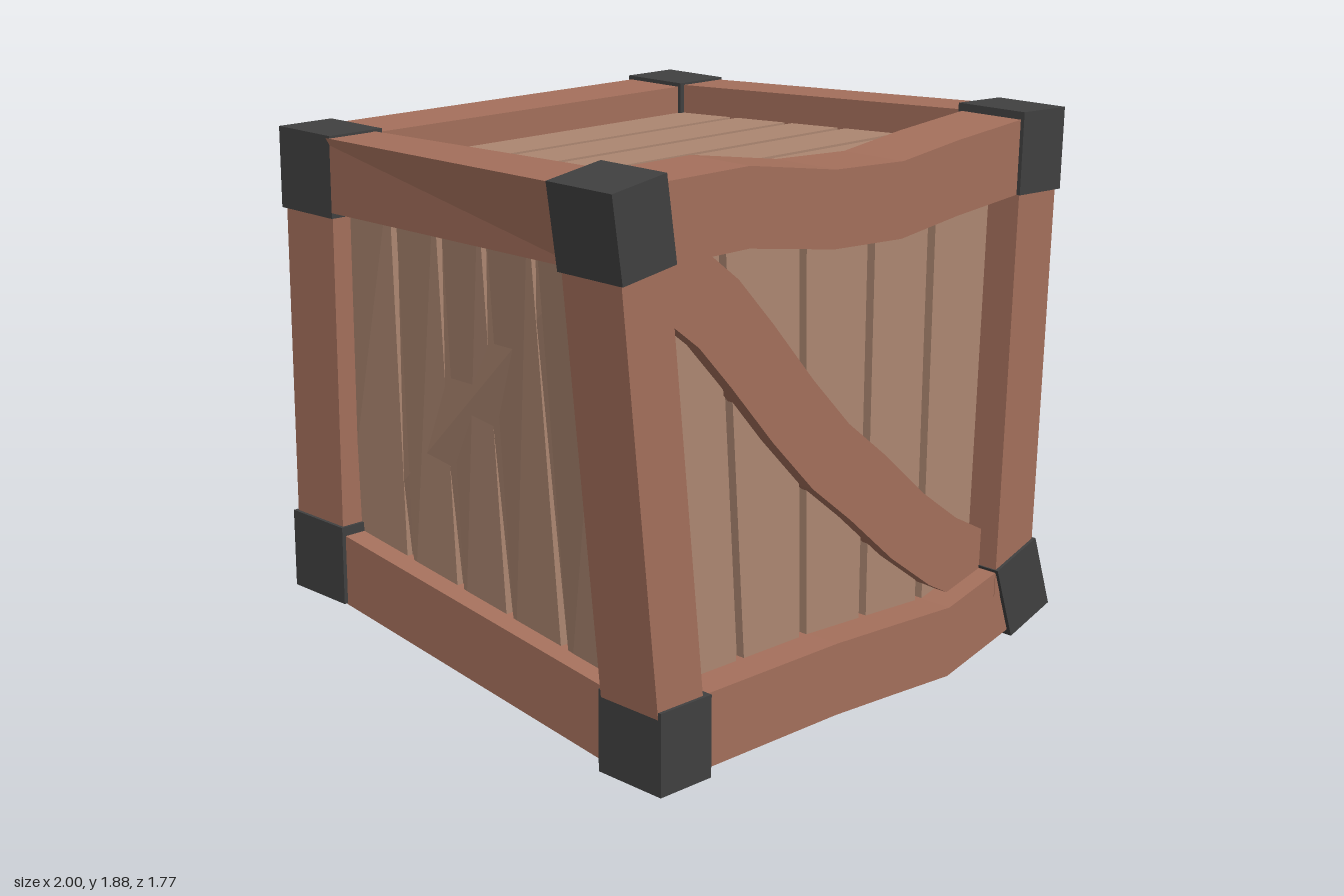
import * as THREE from 'three';

const V = (x, y, z) => new THREE.Vector3(x, y, z);
const mat = (color) => new THREE.MeshStandardMaterial({ color, flatShading: true });

// Corner nodes of the warped crate: L/R = -x/+x, T/B = top/bottom, F/B = front/back
const N = {
  LTF: V(-0.88, 1.74, 0.74), RTF: V(0.86, 1.735, 0.74),
  LTB: V(-0.715, 1.67, -0.735), RTB: V(0.82, 1.67, -0.735),
  LBF: V(-0.715, 0.19, 0.74), RBF: V(0.81, 0.275, 0.74),
  LBB: V(-0.715, 0.385, -0.74), RBB: V(0.815, 0.155, -0.76),
};

// Closed solid through a row of four-cornered rings
function loft(rings) {
  const pos = [];
  const quad = (a, b, c, d) => [a, b, c, a, c, d].forEach((p) => pos.push(p.x, p.y, p.z));
  const first = rings[0], last = rings[rings.length - 1];
  // pick the winding that faces outward
  const e1 = first[1].clone().sub(first[0]), e2 = first[3].clone().sub(first[0]);
  const flip = e1.cross(e2).dot(rings[1][0].clone().sub(first[0])) < 0;
  const face = (a, b, c, d) => (flip ? quad(d, c, b, a) : quad(a, b, c, d));
  for (let i = 0; i < rings.length - 1; i++) {
    for (let j = 0; j < 4; j++) {
      const k = (j + 1) % 4;
      face(rings[i][j], rings[i][k], rings[i + 1][k], rings[i + 1][j]);
    }
  }
  face(first[3], first[2], first[1], first[0]);
  face(...last);
  const geo = new THREE.BufferGeometry();
  geo.setAttribute('position', new THREE.Float32BufferAttribute(pos, 3));
  geo.computeVertexNormals();
  return geo;
}

const SQUARE = [[-1, -1], [1, -1], [1, 1], [-1, 1]];

// Beam along one main axis, with an optional roll (z beams) at each point
function beam(axis, points, rolls = []) {
  return loft(points.map((p, i) => SQUARE.map(([a, b]) => {
    if (axis === 'x') return V(p.x, p.y + a * 0.118, p.z + b * 0.118);
    if (axis === 'y') return V(p.x + a * 0.092, p.y, p.z + b * 0.12);
    const off = V(a * 0.09, b * 0.118, 0).applyAxisAngle(V(0, 0, 1), rolls[i] || 0);
    return off.add(p);
  })));
}

// Flat diagonal plank bending within the xy plane
function plank(points, z0, z1, width) {
  return loft(points.map(([x, y], i) => {
    const a = points[Math.max(i - 1, 0)], b = points[Math.min(i + 1, points.length - 1)];
    const n = new THREE.Vector2(a[1] - b[1], b[0] - a[0]).setLength(width / 2);
    return [V(x - n.x, y - n.y, z0), V(x + n.x, y + n.y, z0), V(x + n.x, y + n.y, z1), V(x - n.x, y - n.y, z1)];
  }));
}

export function createModel() {
  const crate = new THREE.Group();
  crate.name = 'crate';
  const frameMat = mat(0xa5705c), slatMat = mat(0xae8872), metalMat = mat(0x404040);
  const add = (name, geo, material, parent = crate) => {
    const mesh = new THREE.Mesh(geo, material);
    mesh.name = name;
    parent.add(mesh);
    return mesh;
  };

  // Corner blocks
  const tilt = { LTF: [0, 0.15], RTF: [0, -0.03], RBF: [0, 0.33], RBB: [0.16, 0] };
  for (const key in N) {
    const block = add('cornerBlock' + key, new THREE.BoxGeometry(0.207, 0.262, 0.262), metalMat);
    block.position.copy(N[key]);
    if (key === 'RBF') block.position.x += 0.048;
    if (key === 'RBB') block.scale.z = 0.88;
    const [rx, rz] = tilt[key] || [0, 0];
    block.rotation.set(rx, 0, rz);
  }

  // Corner posts
  for (const c of ['LF', 'RF', 'LB', 'RB']) {
    add('post' + c, beam('y', [N[c[0] + 'B' + c[1]], N[c[0] + 'T' + c[1]]]), frameMat);
  }

  // Front rails sag and wave, back rails run straight
  add('topFrontRail', beam('x', [N.LTF, V(-0.46, 1.74, 0.74), V(-0.1, 1.682, 0.74),
    V(0.2, 1.668, 0.74), V(0.46, 1.7, 0.74), N.RTF]), frameMat);
  add('bottomFrontRail', beam('x', [N.LBF.clone().setY(0.203), V(-0.05, 0.203, 0.74), V(0.2, 0.192, 0.74),
    V(0.49, 0.178, 0.74), V(0.84, 0.268, 0.74)]), frameMat);
  add('topBackRail', beam('x', [N.LTB, N.RTB]), frameMat);
  add('bottomBackRail', beam('x', [N.LBB, N.RBB]), frameMat);

  // Side rails
  add('topLeftSideRail', beam('z', [N.RTF, N.RTB]), frameMat);
  add('topRightSideRail', beam('z', [N.LTF, N.LTB], [0.1, 0]), frameMat);
  add('bottomRightSideRail', beam('z', [N.LBF, N.LBB]), frameMat);
  add('bottomLeftSideRail', beam('z', [V(0.85, 0.285, 0.74), V(0.84, 0.293, 0.25), V(0.83, 0.252, -0.14),
    V(0.82, 0.18, -0.43), V(0.815, 0.15, -0.76)], [0.33, 0.3, 0.2, 0.08, 0]), frameMat);

  // Slatted panels: slats run from edge a0-a1 to edge b0-b1 over a backing board
  const EVEN = [0.25, 0.42, 0.58, 0.75];
  function panel(name, [a0, a1, b0, b1], out, lift, ga = EVEN, gb = ga) {
    const group = new THREE.Group();
    group.name = name;
    crate.add(group);
    const board = (u0, u1, w0, w1, top, bottom) => {
      const at = (p, q, t, d) => N[p].clone().lerp(N[q], t).addScaledVector(out, d);
      const ring = (p, q, s, e) => [at(p, q, s, top), at(p, q, e, top), at(p, q, e, bottom), at(p, q, s, bottom)];
      return loft([ring(a0, a1, u0, u1), ring(b0, b1, w0, w1)]);
    };
    add('backing', board(0, 1, 0, 1, lift - 0.03, lift - 0.05), slatMat, group);
    const A = [0, ...ga, 1], B = [0, ...gb, 1], h = 0.011;
    for (let i = 0; i < 5; i++) {
      add('slat', board(A[i] + h, A[i + 1] - h, B[i] + h, B[i + 1] - h, lift, lift - 0.04), slatMat, group);
    }
  }
  panel('frontPanel', ['LTF', 'RTF', 'LBF', 'RBF'], V(0, 0, 1), 0, [0.24, 0.44, 0.62, 0.785], [0.24, 0.42, 0.6, 0.78]);
  panel('backPanel', ['LTB', 'RTB', 'LBB', 'RBB'], V(0, 0, -1), 0);
  panel('leftPanel', ['RTF', 'RTB', 'RBF', 'RBB'], V(1, 0, 0), 0.01, [0.244, 0.41, 0.58, 0.744], [0.28, 0.5, 0.68, 0.82]);
  panel('rightPanel', ['LTF', 'LTB', 'LBF', 'LBB'], V(-1, 0, 0), 0.01);
  panel('topPanel', ['LTF', 'LTB', 'RTF', 'RTB'], V(0, 1, 0), 0.02);
  panel('bottomPanel', ['LBF', 'LBB', 'RBF', 'RBB'], V(0, -1, 0), 0.02);

  // Wavy diagonal braces
  add('frontBrace', plank([[-0.74, 1.59], [-0.64, 1.53], [-0.51, 1.43], [-0.37, 1.28], [-0.19, 1.075],
    [-0.02, 0.9], [0.15, 0.765], [0.35, 0.59], [0.53, 0.46], [0.72, 0.36]], 0.72, 0.79, 0.235), frameMat);
  add('backBrace', plank([[0.75, 0.37], [0.56, 0.47], [0.36, 0.61], [0.09, 0.89],
    [-0.14, 1.12], [-0.38, 1.33], [-0.54, 1.44], [-0.66, 1.5]], -0.72, -0.79, 0.235), frameMat);

  return crate;
}
